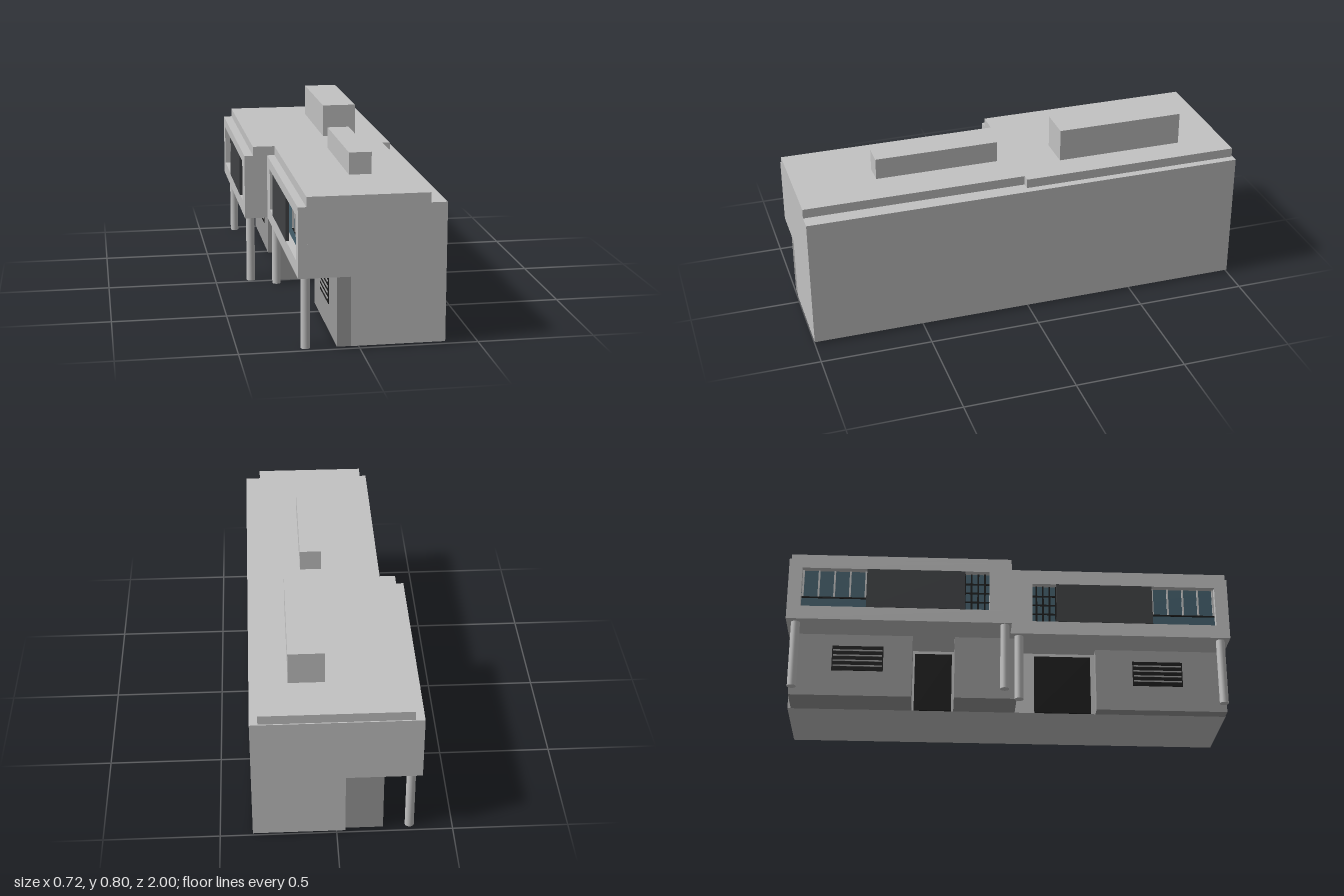
import * as THREE from 'three';

const mat = (name, color) => {
  const m = new THREE.MeshStandardMaterial({ color });
  m.name = name;
  return m;
};

export function createModel() {
  const wall = mat('light grey wall', 0xc2c2c2);
  const plinth = mat('mid grey wall', 0x999999);
  const charcoal = mat('charcoal panel', 0x404244);
  const glass = mat('blue grey glass', 0x46626f);
  const black = mat('black joinery', 0x1c1c1c);

  const house = new THREE.Group();
  house.name = 'terracedHouses';

  // Box from its limits
  function box(parent, name, m, x0, x1, y0, y1, z0, z1) {
    const mesh = new THREE.Mesh(
      new THREE.BoxGeometry(Math.abs(x1 - x0), Math.abs(y1 - y0), Math.abs(z1 - z0)), m);
    mesh.position.set((x0 + x1) / 2, (y0 + y1) / 2, (z0 + z1) / 2);
    mesh.name = name;
    parent.add(mesh);
    return mesh;
  }

  // One dwelling; s gives its end of the building, z is mirrored about the party wall
  function unit(s, o) {
    const g = new THREE.Group();
    g.name = s > 0 ? 'frontHouse' : 'rearHouse';
    const b = (name, m, x0, x1, y0, y1, z0, z1) => box(g, name, m, x0, x1, y0, y1, z0 * s, z1 * s);
    const f = o.face, inner = f + 0.04;
    const lo = 0.307, hi = 0.605, w0 = 0.37, w1 = 0.56, zIn = 0.1, zOut = 0.94;

    // Main volumes
    b('groundFloor', wall, -0.037, 0.36, 0.01, lo, 0, 1);
    b('upperFloor', wall, inner, 0.36, lo, hi, 0, 1);
    b('roofSlab', wall, o.roof[0], o.roof[1], hi, 0.647, 0, o.roof[2]);
    b('roofBox', wall, ...o.box);

    // Projecting frame around the window band
    b('frameBottom', wall, f, inner, lo, w0, 0, 1);
    b('frameTop', wall, f, inner, w1, hi, 0, 1);
    b('frameInnerEnd', wall, f, inner, w0, w1, 0, zIn);
    b('frameOuterEnd', wall, f, inner, w0, w1, zOut, 1);

    // Window band: glass, sliding panel and bars
    b('windowGlass', glass, inner - 0.008, inner, w0, w1, zIn, zOut);
    b('slidingPanel', charcoal, f - 0.002, f + 0.012, w0, w1, 0.21, 0.65);
    b('windowTransom', black, inner - 0.014, inner - 0.008, 0.424, 0.43, 0.65, zOut);
    for (let i = 0; i <= 4; i++) {
      const z = 0.655 + i * 0.07;
      b('windowMullion', wall, inner - 0.015, inner - 0.008, 0.43, w1, z - 0.004, z + 0.004);
    }
    for (let i = 0; i < 4; i++) {
      const z = 0.12 + i * 0.03;
      b('smallWindowBar', black, inner - 0.014, inner - 0.008, w0, w1, z - 0.004, z + 0.004);
    }
    for (const y of [0.42, 0.465, 0.51])
      b('smallWindowRail', black, inner - 0.013, inner - 0.008, y - 0.003, y + 0.003, zIn, 0.21);

    // Recessed ground floor walls with a high louvred window
    const p = o.plinth;
    for (const [z0, z1] of o.walls) b('groundWall', plinth, p, -0.037, 0.01, lo, z0, z1);
    b('louvreWindow', black, p - 0.003, p, 0.13, 0.25, 0.57, 0.8);
    for (let i = 0; i < 4; i++)
      b('louvre', plinth, p - 0.007, p - 0.002, 0.15 + i * 0.025, 0.156 + i * 0.025, 0.575, 0.795);

    // Entrance
    const [d0, d1] = o.door;
    b('door', black, -0.045, -0.037, 0.01, 0.29, d0, d1);

    // Columns under the overhang
    for (const [x, z] of o.columns) {
      const c = new THREE.Mesh(new THREE.CylinderGeometry(0.02, 0.02, lo, 24), wall);
      c.position.set(x, lo / 2, z * s);
      c.name = 'column';
      g.add(c);
    }
    house.add(g);
  }

  unit(1, {
    face: -0.255, plinth: -0.095,
    roof: [-0.22, 0.29, 1],
    box: [0.017, 0.115, 0.647, 0.743, 0.075, 0.635],
    walls: [[0.4, 0.998]],
    door: [0.12, 0.38],
    columns: [[-0.22, 0.04], [-0.22, 0.96]],
  });
  unit(-1, {
    face: -0.36, plinth: -0.2,
    roof: [-0.32, 0.325, 0.995],
    box: [0.04, 0.195, 0.647, 0.795, 0.2, 0.78],
    walls: [[-0.03, 0.25], [0.44, 0.985]],
    door: [0.26, 0.43],
    columns: [[-0.333, 0.03], [-0.316, 0.96]],
  });

  return house;
}
